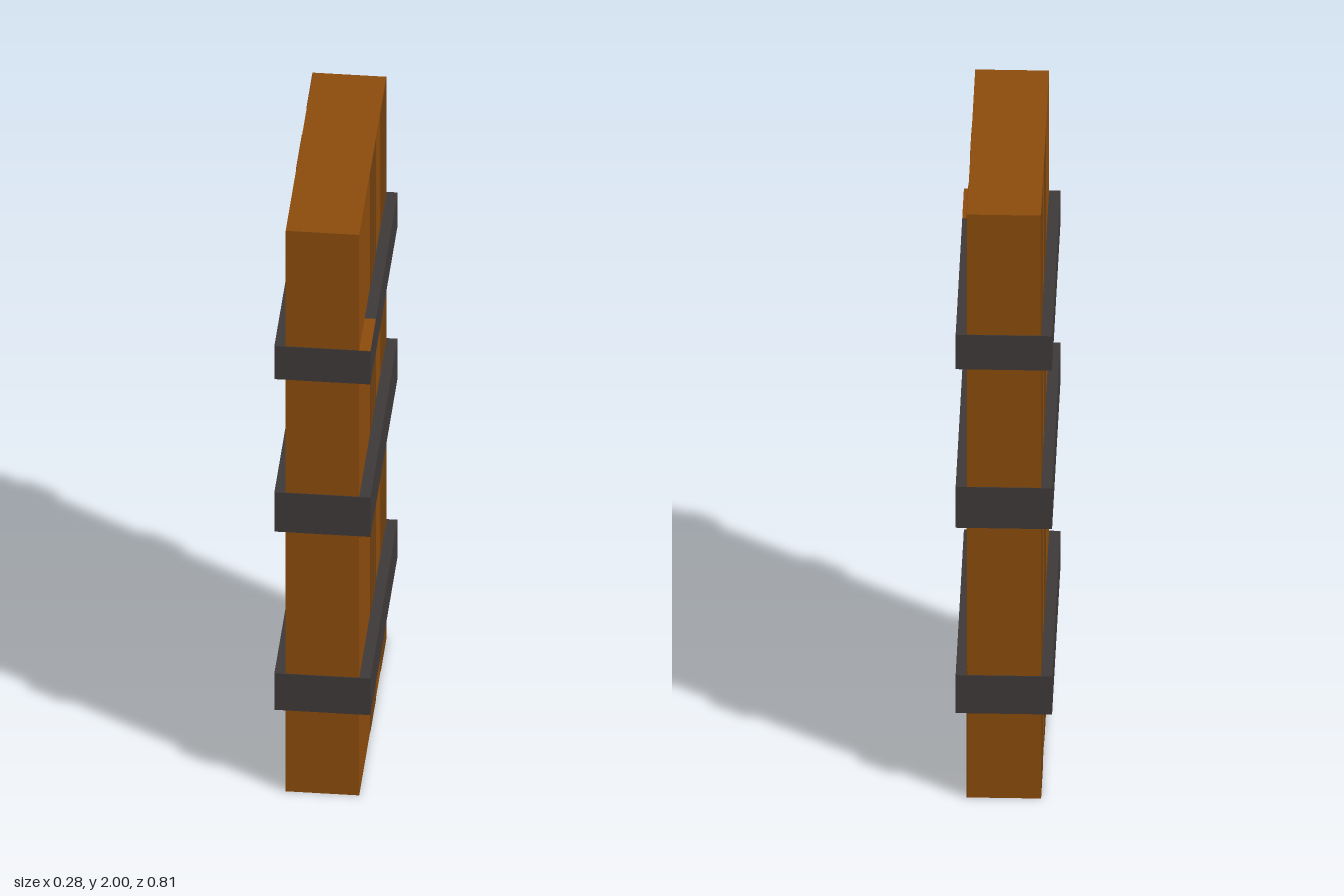
import * as THREE from 'three';

export function createModel() {
  const model = new THREE.Group();
  const wood = new THREE.MeshStandardMaterial({ color: 0x8b4b0c });
  wood.name = 'wood';
  const darkWood = new THREE.MeshStandardMaterial({ color: 0x70400f });
  darkWood.name = 'dark wood';
  const iron = new THREE.MeshStandardMaterial({ color: 0x3e3939 });
  iron.name = 'iron';

  // Box given by its lower and upper limits on each axis
  function box(name, material, [x0, x1], [y0, y1], [z0, z1]) {
    const mesh = new THREE.Mesh(new THREE.BoxGeometry(x1 - x0, y1 - y0, z1 - z0), material);
    mesh.position.set((x0 + x1) / 2, (y0 + y1) / 2, (z0 + z1) / 2);
    mesh.name = name;
    model.add(mesh);
  }

  // Door slab
  box('doorSlab', wood, [-0.108, 0.108], [0, 2], [-0.405, 0.405]);

  // Dark planks painted on both broad faces
  for (const z of [[-0.085, 0.08], [-0.405, -0.232]]) {
    box('leftDarkPlank', darkWood, [0.107, 0.109], [0, 2], z);
    box('rightDarkPlank', darkWood, [-0.109, -0.107], [0, 2], z);
  }

  // Iron bands wrapped around the slab
  for (const y of [[0.29, 0.42], [0.926, 1.066], [1.47, 1.588]]) {
    box('ironBand', iron, [-0.141, 0.141], y, [-0.407, 0.407]);
  }

  // Wooden patch on the upper edge of the top band
  box('bandPatch', wood, [0.108, 0.141], [1.587, 1.59], [0.243, 0.407]);

  return model;
}
